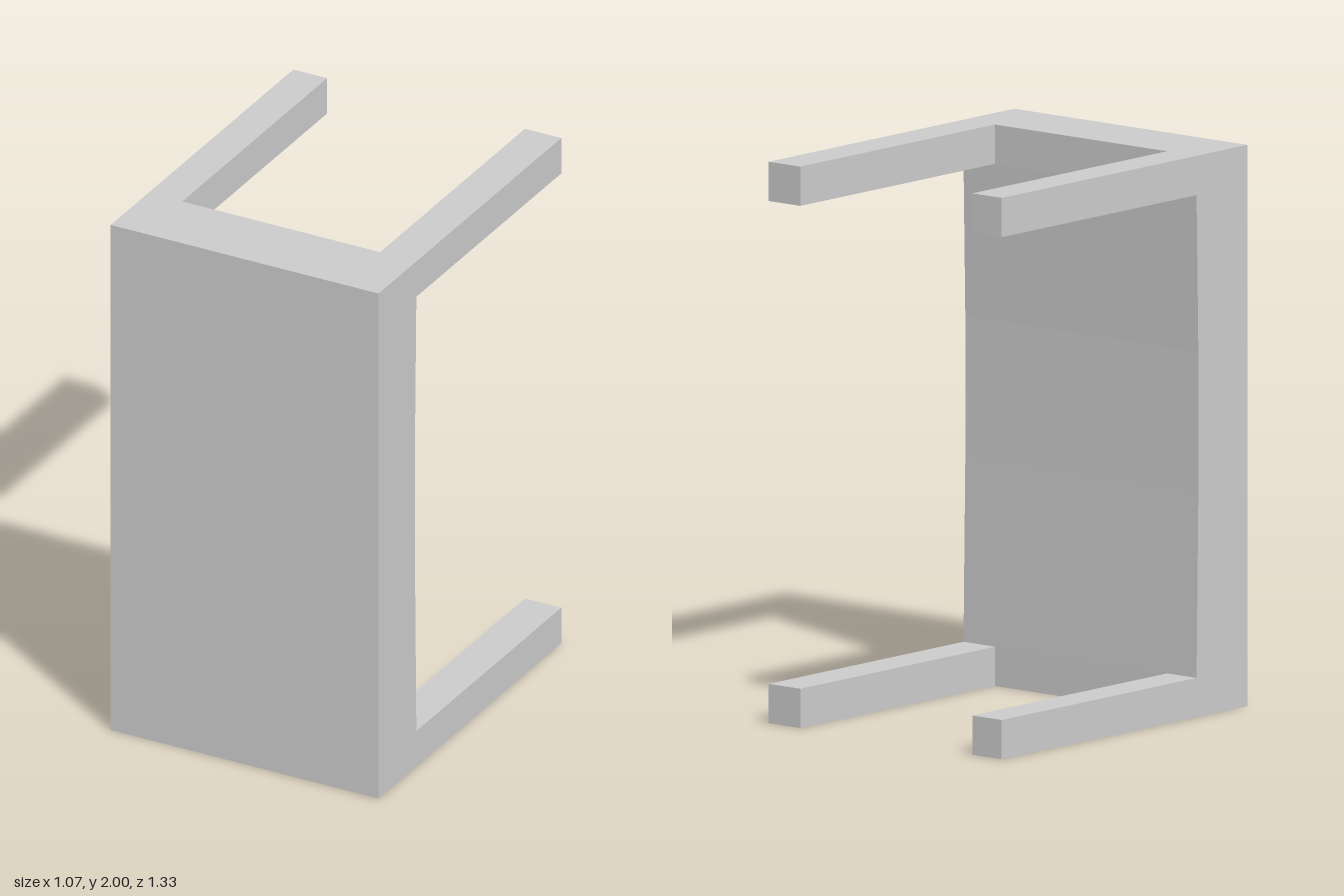
import * as THREE from 'three';

const HALF_W = 0.535, HEIGHT = 2, FRONT = 0.665, INNER = 0.39, LEG_H = 0.14;

export function createModel() {
  const group = new THREE.Group();
  const material = new THREE.MeshStandardMaterial({ color: 0xcccccc, flatShading: true });

  // Thick slab: side profile (z, y) with a slightly hollowed inner face, extruded across x
  const profile = new THREE.Shape([
    [FRONT, 0], [FRONT, HEIGHT], [INNER, HEIGHT], [INNER, HEIGHT - LEG_H],
    [0.4, 1.3], [0.4, 0.8], [INNER, LEG_H], [INNER, 0],
  ].map(([z, y]) => new THREE.Vector2(z, y)));
  const slabGeometry = new THREE.ExtrudeGeometry(profile, { depth: 2 * HALF_W, bevelEnabled: false });
  slabGeometry.rotateY(-Math.PI / 2).translate(HALF_W, 0, 0);
  const slab = new THREE.Mesh(slabGeometry, material);
  slab.name = 'tableTop';
  group.add(slab);

  // Four square legs reaching back from the slab's corners
  const legLength = FRONT + INNER;
  for (const [side, inner] of [['left', 0.39], ['right', -0.4]]) {
    const outer = Math.sign(inner) * HALF_W;
    for (const [level, y] of [['Lower', LEG_H / 2], ['Upper', HEIGHT - LEG_H / 2]]) {
      const leg = new THREE.Mesh(
        new THREE.BoxGeometry(Math.abs(outer - inner), LEG_H, legLength), material);
      leg.position.set((inner + outer) / 2, y, INNER - legLength / 2);
      leg.name = `${side}${level}Leg`;
      group.add(leg);
    }
  }
  return group;
}
